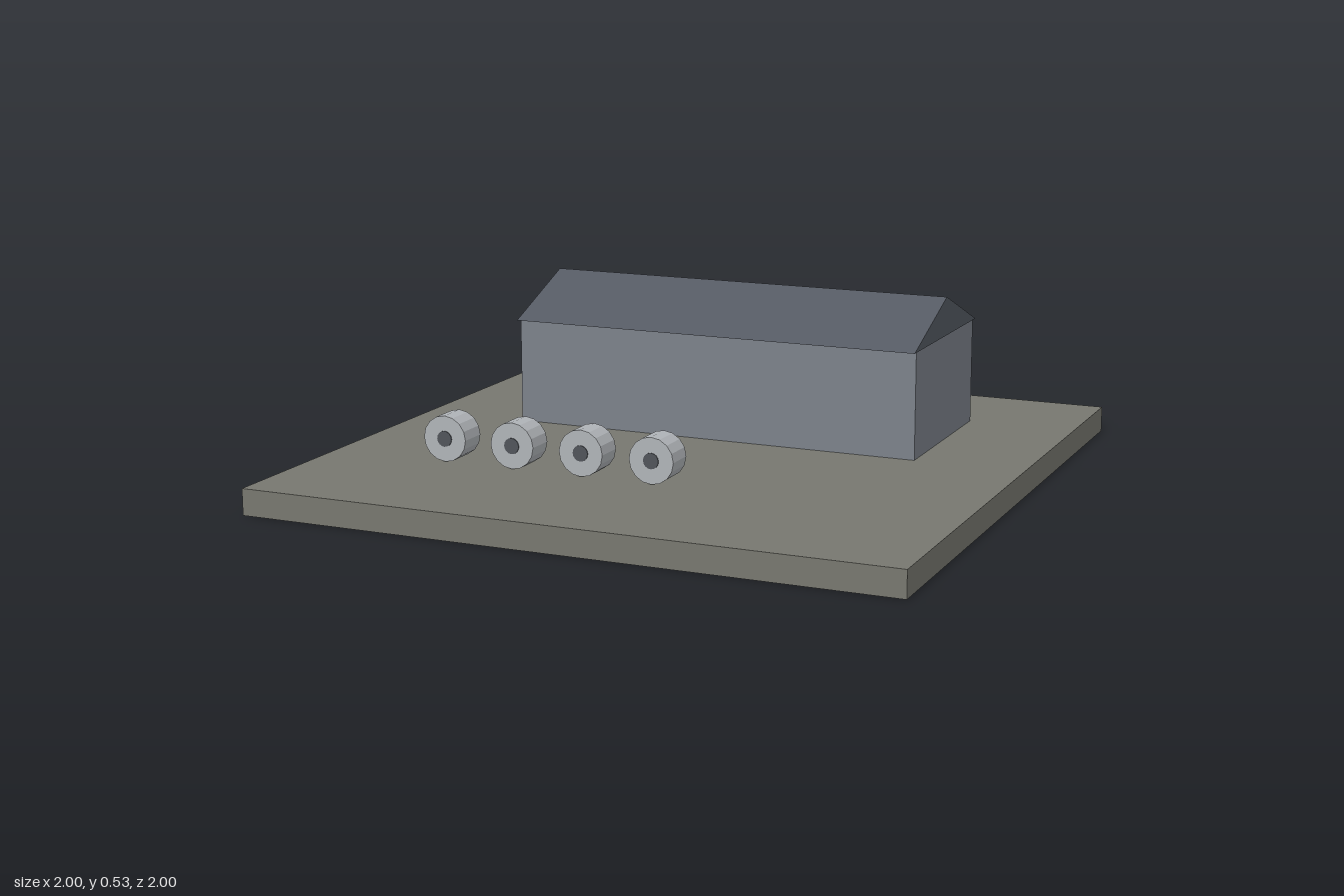
import * as THREE from 'three';

const paint = (color) => new THREE.MeshStandardMaterial({ color, flatShading: true });

function part(parent, name, geometry, material, x = 0, y = 0, z = 0) {
  const mesh = new THREE.Mesh(geometry, material);
  mesh.name = name;
  mesh.position.set(x, y, z);
  parent.add(mesh);
  return mesh;
}

export function createModel() {
  const model = new THREE.Group();
  model.name = 'yard';

  // Ground slab
  part(model, 'groundSlab', new THREE.BoxGeometry(2, 0.08, 2), paint(0x77776f), 0, 0.04, 0);

  // Long shed
  const shed = new THREE.Group();
  shed.name = 'shed';
  shed.position.z = -0.357;
  model.add(shed);
  part(shed, 'walls', new THREE.BoxGeometry(1.32, 0.33, 0.565), paint(0x7c818a), 0, 0.245, 0);

  // Gable roof: triangle extruded along the shed's length
  const gable = new THREE.Shape([
    new THREE.Vector2(-0.305, 0),
    new THREE.Vector2(0.305, 0),
    new THREE.Vector2(0, 0.12),
  ]);
  const roof = new THREE.ExtrudeGeometry(gable, { depth: 1.324, bevelEnabled: false });
  roof.translate(0, 0, -0.662).rotateY(Math.PI / 2);
  part(shed, 'roof', roof, paint(0x555a63), 0, 0.41, 0);

  // Row of coils, each with a dark core showing at both ends
  const coilGeometry = new THREE.CylinderGeometry(0.07, 0.07, 0.092, 16).rotateX(Math.PI / 2);
  const coreGeometry = new THREE.CylinderGeometry(0.024, 0.024, 0.098, 16).rotateX(Math.PI / 2);
  const coilPaint = paint(0xb0b4b8);
  const corePaint = paint(0x50545a);
  for (let i = 0; i < 4; i++) {
    const coil = new THREE.Group();
    coil.name = `coil${i + 1}`;
    coil.position.set(-0.615 + i * 0.225, 0.153, 0.46);
    part(coil, 'coilBody', coilGeometry, coilPaint);
    part(coil, 'coilCore', coreGeometry, corePaint);
    model.add(coil);
  }

  return model;
}
